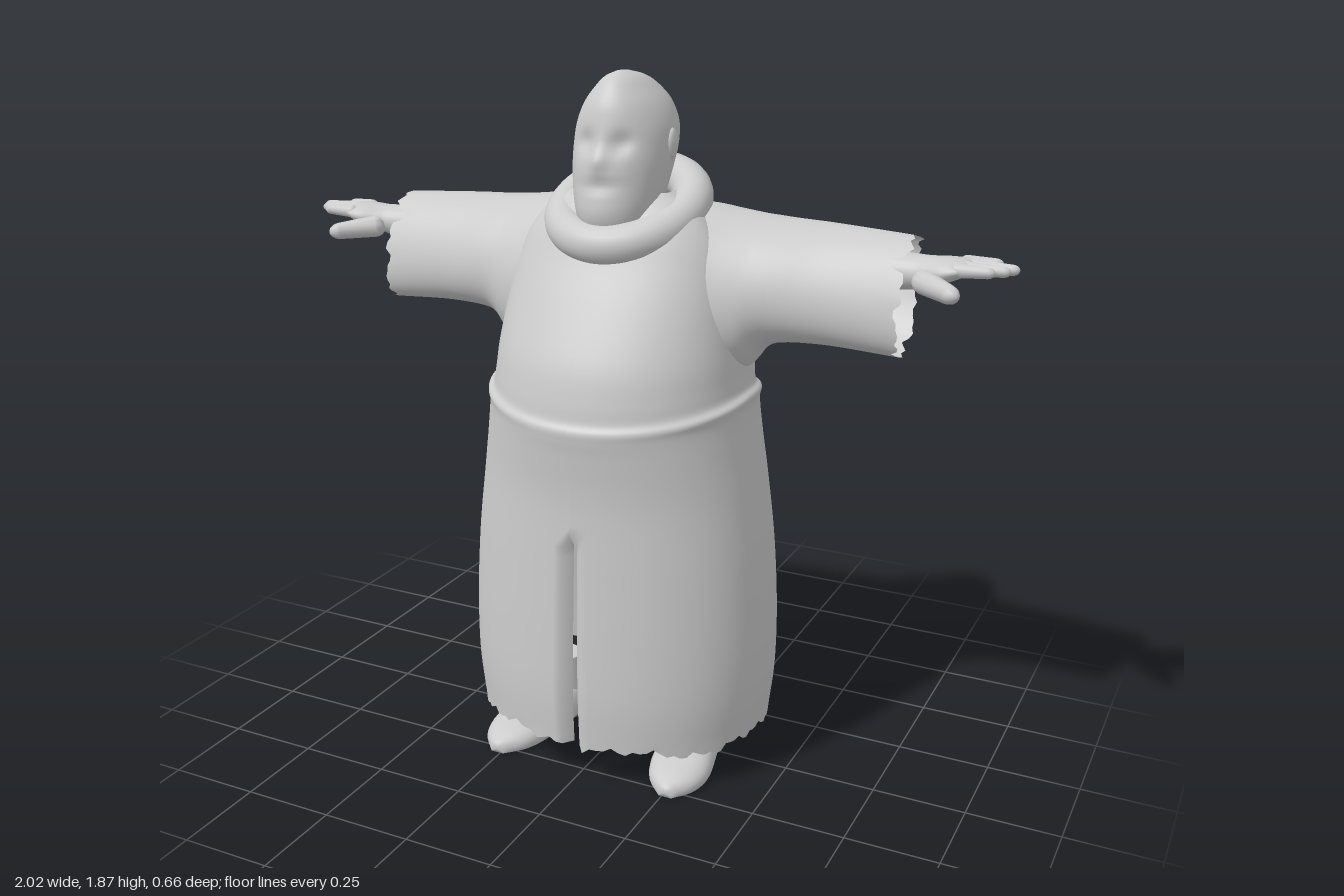
import * as THREE from 'three';

const material = new THREE.MeshStandardMaterial({ color: 0xcccccc, side: THREE.DoubleSide });

// Smoothly resample a short table of section rows
function resample(rows, count) {
  const size = rows[0].length;
  const curve = new THREE.CubicInterpolant(rows.map((_, i) => i), rows.flat(), size, new Float32Array(size));
  return Array.from({ length: count + 1 }, (_, i) =>
    Array.from(curve.evaluate((i / count) * (rows.length - 1))));
}

// Skin a list of rings (arrays of [x, y, z]); optional open seam and end caps
function loft(rings, { closed = true, capStart = false, capEnd = false } = {}) {
  const n = rings[0].length, pos = rings.flat(2), index = [];
  const span = closed ? n : n - 1;
  for (let r = 0; r < rings.length - 1; r++) {
    for (let i = 0; i < span; i++) {
      const a = r * n + i, b = r * n + (i + 1) % n;
      index.push(a, a + n, b, b, a + n, b + n);
    }
  }
  const cap = (ring, start, flip) => {
    const c = pos.length / 3;
    for (let k = 0; k < 3; k++) pos.push(ring.reduce((s, p) => s + p[k], 0) / n);
    for (let i = 0; i < n; i++) {
      const a = start + i, b = start + (i + 1) % n;
      index.push(c, flip ? b : a, flip ? a : b);
    }
  };
  if (capStart) cap(rings[0], 0, false);
  if (capEnd) cap(rings[rings.length - 1], (rings.length - 1) * n, true);
  const g = new THREE.BufferGeometry();
  g.setAttribute('position', new THREE.Float32BufferAttribute(pos, 3));
  g.setIndex(index);
  g.computeVertexNormals();
  return g;
}

function ring(n, fn) {
  return Array.from({ length: n }, (_, i) => {
    const t = (i / n) * Math.PI * 2;
    return fn(Math.cos(t), Math.sin(t), t);
  });
}

function add(parent, name, geometry) {
  const mesh = new THREE.Mesh(geometry, material);
  mesh.name = name;
  parent.add(mesh);
  return mesh;
}

const power = (v, e) => Math.sign(v) * Math.abs(v) ** e;
const ragged = (t) => Math.sin(t * 7) * 0.4 + Math.sin(t * 19 + 1) * 0.35 + Math.sin(t * 43 + 2) * 0.35;

// Robe body: [height, half width, front z, back z]
function robeGeometry() {
  const rows = [
    [0.11, 0.412, 0.318, -0.325], [0.25, 0.427, 0.325, -0.328], [0.42, 0.428, 0.322, -0.325],
    [0.62, 0.415, 0.316, -0.318], [0.8, 0.392, 0.312, -0.308], [0.93, 0.372, 0.322, -0.297],
    [1.0, 0.362, 0.329, -0.291], [1.03, 0.366, 0.33, -0.294], [1.05, 0.35, 0.318, -0.283],
    [1.09, 0.344, 0.31, -0.29], [1.17, 0.336, 0.285, -0.315], [1.3, 0.315, 0.22, -0.325],
    [1.4, 0.29, 0.165, -0.308], [1.47, 0.255, 0.13, -0.265], [1.53, 0.2, 0.09, -0.21], [1.57, 0.13, 0.05, -0.15],
  ];
  const n = 128;
  const rings = resample(rows, 90).map(([y, rx, zf, zb], r) => {
    // The front slit widens towards the hem
    const gap = y < 0.69 ? 0.008 + 0.012 * (0.69 - y) : 0;
    const waist = Math.exp(-(((y - 1.03) / 0.07) ** 2));
    return Array.from({ length: n + 1 }, (_, i) => {
      const t = Math.PI / 2 + gap + (i / n) * (Math.PI * 2 - 2 * gap);
      const c = Math.cos(t), s = Math.sin(t), e = s > 0 ? 2 / 2.1 : 2 / 2.5;
      const fold = y < 0.69 && (i === 0 || i === n) ? 0.03 : 0;
      const hem = r === 0 ? 0.018 * ragged(t) : 0;
      return [rx * power(c, e), y + hem + waist * 0.025 * (c * c - Math.max(s, 0)),
        (s > 0 ? zf : -zb) * power(s, e) - fold];
    });
  });
  return loft(rings, { closed: false });
}

// Section across x: [x, top y, bottom y, front z, back z]
function armRings(rows, count, n, lean, tear = 0) {
  return resample(rows, count).map(([x, yt, yb, zf, zb], r) => ring(n, (c, s, t) => [
    x + (r === count ? tear * ragged(t) : 0),
    (yt + yb) / 2 + (yt - yb) / 2 * s,
    (zf + zb) / 2 + (zf - zb) / 2 * c - lean * s * Math.min(1, x / 0.5)]));
}

function headGeometry() {
  const rows = [
    [1.4, 0.085, 0.07, -0.08], [1.46, 0.09, 0.12, -0.085], [1.49, 0.1, 0.145, -0.09],
    [1.53, 0.108, 0.155, -0.1], [1.58, 0.119, 0.15, -0.115], [1.64, 0.127, 0.145, -0.148],
    [1.69, 0.13, 0.135, -0.172], [1.74, 0.125, 0.125, -0.18], [1.79, 0.104, 0.113, -0.168],
    [1.83, 0.072, 0.09, -0.13], [1.855, 0.044, 0.065, -0.08], [1.868, 0.014, 0.03, -0.02],
  ];
  const rings = resample(rows, 48).map(([y, rx, zf, zb]) => ring(48, (c, s) => {
    const x = rx * c;
    let z = (zf + zb) / 2 + (zf - zb) / 2 * s;
    if (s > 0) {
      // Eye sockets, nose and mouth
      z -= 0.018 * Math.exp(-((Math.abs(x) - 0.048) ** 2 + (y - 1.7) ** 2) / 0.0007);
      z += 0.016 * Math.exp(-((x / 0.02) ** 2) - ((y - 1.66) / 0.028) ** 2);
      z -= 0.01 * Math.exp(-((x / 0.05) ** 2) - ((y - 1.595) / 0.012) ** 2);
    }
    return [x, y, z];
  }));
  return loft(rings, { capEnd: true });
}

// Tapered digit from a to b
function addDigit(parent, name, a, b, radius) {
  const from = new THREE.Vector3(...a), to = new THREE.Vector3(...b), dir = to.clone().sub(from);
  const g = new THREE.CapsuleGeometry(radius, dir.length() - radius, 6, 12);
  const p = g.attributes.position, len = dir.length();
  for (let i = 0; i < p.count; i++) {
    const k = 0.9 - 0.3 * p.getY(i) / len;
    p.setXYZ(i, p.getX(i) * k, p.getY(i), p.getZ(i) * k);
  }
  g.computeVertexNormals();
  const m = add(parent, name, g);
  m.position.copy(from).add(to).multiplyScalar(0.5);
  m.quaternion.setFromUnitVectors(new THREE.Vector3(0, 1, 0), dir.normalize());
}

function buildSide(name) {
  const side = new THREE.Group();
  side.name = name;
  // Wide sleeve flaring into the torso
  add(side, 'sleeve', loft(armRings([
    [0.1, 1.535, 1.14, 0.12, -0.28], [0.2, 1.533, 1.1, 0.115, -0.285], [0.28, 1.522, 1.09, 0.095, -0.272],
    [0.34, 1.514, 1.125, 0.075, -0.255], [0.38, 1.51, 1.175, 0.06, -0.245], [0.43, 1.506, 1.2, 0.048, -0.235],
    [0.55, 1.5, 1.208, 0.025, -0.212], [0.74, 1.49, 1.2, 0.005, -0.175],
  ], 40, 56, 0.04, 0.013)));
  // Forearm and palm
  const hand = new THREE.Group();
  hand.name = 'hand';
  side.add(hand);
  add(hand, 'forearmAndPalm', loft(armRings([
    [0.55, 1.46, 1.35, -0.03, -0.14], [0.74, 1.456, 1.365, -0.025, -0.13], [0.79, 1.455, 1.378, -0.015, -0.128],
    [0.84, 1.458, 1.395, 0.005, -0.132], [0.885, 1.455, 1.415, -0.002, -0.132], [0.905, 1.445, 1.43, -0.03, -0.11],
  ], 24, 28, 0), { capStart: true, capEnd: true }));
  [[-0.018, 0.955, -0.018], [-0.05, 0.985, -0.047], [-0.083, 1.0, -0.077], [-0.115, 0.95, -0.13]].forEach(
    ([z, tipX, tipZ]) => addDigit(hand, 'finger', [0.865, 1.437, z], [tipX, 1.437, tipZ], 0.018));
  addDigit(hand, 'thumb', [0.785, 1.402, -0.025], [0.885, 1.39, 0.055], 0.03);
  // Ear
  const ear = add(side, 'ear', new THREE.SphereGeometry(1, 16, 12));
  ear.scale.set(0.014, 0.04, 0.026);
  ear.position.set(0.126, 1.69, -0.02);
  // Shoe: [z, centre x, half width, height]
  const shoe = resample([
    [-0.115, 0.212, 0.03, 0.07], [-0.09, 0.214, 0.06, 0.105], [-0.02, 0.222, 0.073, 0.11], [0.07, 0.236, 0.083, 0.09],
    [0.16, 0.25, 0.086, 0.067], [0.23, 0.256, 0.065, 0.05], [0.28, 0.26, 0.02, 0.03],
  ], 24).map(([z, x, w, h]) => ring(28, (c, s) => [x + w * power(c, 0.8), Math.max(0, h * (0.3 + 0.7 * s)), z]));
  add(side, 'shoe', loft(shoe, { capStart: true, capEnd: true }));
  const ankle = add(side, 'ankle', new THREE.CylinderGeometry(0.058, 0.066, 0.13, 24));
  ankle.position.set(0.222, 0.115, -0.035);
  return side;
}

export function createModel() {
  const model = new THREE.Group();
  model.name = 'robedFigure';
  add(model, 'robe', robeGeometry());
  add(model, 'head', headGeometry());

  // Rolled cowl, low at the front and high behind the neck
  const path = new THREE.CatmullRomCurve3(Array.from({ length: 16 }, (_, i) => {
    const t = (i / 16) * Math.PI * 2, s = Math.sin(t);
    return new THREE.Vector3(0.168 * Math.cos(t), 1.52 - 0.072 * s, -0.03 + 0.165 * s);
  }), true);
  add(model, 'cowl', new THREE.TubeGeometry(path, 80, 0.053, 20, true));

  const left = buildSide('leftSide'), right = buildSide('rightSide');
  right.scale.x = -1;
  model.add(left, right);
  return model;
}
